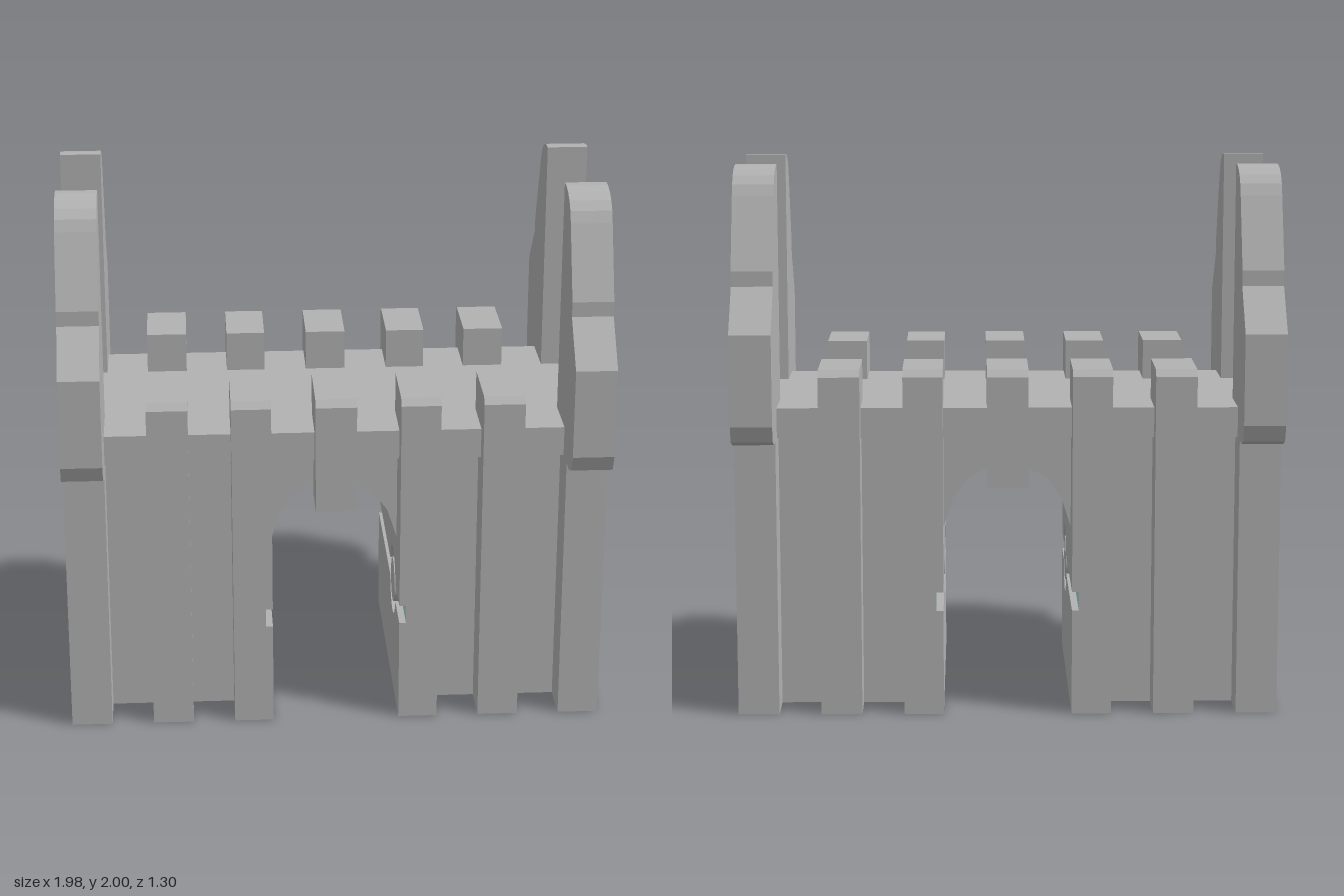
import * as THREE from 'three';
import { mergeGeometries } from 'three/addons/utils/BufferGeometryUtils.js';

const stone = new THREE.MeshStandardMaterial({ color: 0xb2b2b2, side: THREE.DoubleSide });
stone.name = 'grey stone';
const teal = new THREE.MeshStandardMaterial({ color: 0xacd6d2, side: THREE.DoubleSide });
teal.name = 'pale teal';

// Half profiles as [z, y], from the open bottom up to the walkway
const recess = (y0) => [[0.35, y0], [0.35, 1.02], [0.43, 1.02], [0.43, 1.13], [0.23, 1.13]];
const rib = (y0) => [[0.51, y0], [0.51, 1.255], [0.485, 1.28], [0.23, 1.28], [0.23, 1.13]];
const slab = [[0.51, 0], [0.51, 1.02], [0.57, 1.02], [0.625, 1.04], [0.65, 1.1], [0.65, 1.43],
  [0.51, 1.585], [0.51, 1.64], [0.405, 1.9], [0.385, 1.94], [0.355, 1.97], [0.315, 1.99],
  [0.27, 2], [0.23, 2], [0.23, 1.13]];
const arch = [[-0.235, 0.67], [-0.2, 0.78], [-0.14, 0.86], [-0.075, 0.89], [0.075, 0.89],
  [0.14, 0.86], [0.2, 0.78], [0.235, 0.67]];

const GATE = 0.235, GROOVE = 0.26, END = 0.99;
const RING = { z: 0.2, y: 0.425, outer: 0.13, inner: 0.085, half: 0.035 };

const shapeOf = (pts) => new THREE.Shape(pts.map(([a, b]) => new THREE.Vector2(a, b)));

// Sweep a [z, y] line from x0 to x1
function sweep(pts, x0, x1) {
  const pos = [];
  for (let i = 0; i < pts.length - 1; i++) {
    const [za, ya] = pts[i], [zb, yb] = pts[i + 1];
    pos.push(x0, ya, za, x1, ya, za, x1, yb, zb, x0, ya, za, x1, yb, zb, x0, yb, zb);
  }
  const g = new THREE.BufferGeometry();
  g.setAttribute('position', new THREE.Float32BufferAttribute(pos, 3));
  g.computeVertexNormals();
  return g;
}

// Stand a flat or extruded [z, y] geometry upright at x
const upright = (g, x) => g.rotateY(-Math.PI / 2).translate(x, 0, 0);

function flat(shape, x) {
  const g = upright(new THREE.ShapeGeometry(shape), x).toNonIndexed();
  g.deleteAttribute('uv');
  return g;
}

// Side of a protruding part, between its profile and the recessed wall
const side = (outer, inner, x) => flat(shapeOf([...outer, ...[...inner].reverse()]), x);

export function createModel() {
  const model = new THREE.Group();
  const add = (name, geos, mat = stone) => {
    const mesh = new THREE.Mesh(geos.length > 1 ? mergeGeometries(geos) : geos[0], mat);
    mesh.name = name;
    model.add(mesh);
  };
  const flip = (pts, s) => pts.map(([z, y]) => [z * s, y]);

  add('walkway', [sweep([[-0.23, 1.13], [0.23, 1.13]], -END, END)]);

  for (const sx of [1, -1]) {
    const label = sx > 0 ? 'left' : 'right';
    // Outer face of the tall end wall
    add(label + 'EndFace', [flat(shapeOf([...slab, ...flip(slab, -1).reverse()]), sx * END)]);

    for (const sz of [1, -1]) {
      const f = (pts) => flip(pts, sz);
      const place = label + (sz > 0 ? 'Front' : 'Back');
      add(place + 'EndTower', [
        sweep(f(slab), sx * 0.84, sx * END),
        side(f(slab), f(recess(0)), sx * 0.84),
      ]);
      add(place + 'OuterRib', [
        sweep(f(rib(0)), sx * 0.535, sx * 0.685),
        side(f(rib(0)), f(recess(0)), sx * 0.535),
        side(f(rib(0)), f(recess(0)), sx * 0.685),
      ]);
      add(place + 'GateRib', [
        sweep(f(rib(0)), sx * GROOVE, sx * 0.38),
        sweep(f(rib(0.67)), sx * GATE, sx * GROOVE),
        side(f(rib(0)), f(recess(0)), sx * 0.38),
        side(f(rib(0.67)), f(recess(0.67)), sx * GATE),
      ]);
      add(place + 'RecessedWall', [
        sweep(f(recess(0)), sx * 0.38, sx * 0.535),
        sweep(f(recess(0)), sx * 0.685, sx * 0.84),
      ]);
    }

    // Gate wall with a groove that widens into a ring
    const { z, y, outer, inner, half } = RING;
    const a = Math.asin(half / outer);
    const upper = new THREE.Shape().moveTo(-0.51, 0.67).lineTo(-0.51, y + half)
      .absarc(z, y, outer, Math.PI - a, a, true).lineTo(0.51, y + half).lineTo(0.51, 0.67);
    const lower = new THREE.Shape().moveTo(-0.51, 0).lineTo(-0.51, y - half)
      .absarc(z, y, outer, Math.PI + a, 2 * Math.PI - a, false).lineTo(0.51, y - half).lineTo(0.51, 0);
    const island = new THREE.Shape().absarc(z, y, inner, 0, Math.PI * 2, false);
    const wall = [upper, lower, island].map((s) => upright(
      new THREE.ExtrudeGeometry(s, { depth: GROOVE - GATE, bevelEnabled: false, curveSegments: 20 }),
      sx > 0 ? GROOVE : -GATE));
    add(label + 'GateWall', wall);

    // Coloured groove floor
    const reach = outer * Math.cos(a);
    const bar = (z0, z1) => flat(shapeOf([[z0, y - half], [z1, y - half], [z1, y + half], [z0, y + half]]), sx * GROOVE);
    const ring = upright(new THREE.RingGeometry(inner, outer, 40).translate(z, y, 0), sx * GROOVE).toNonIndexed();
    ring.deleteAttribute('uv');
    add(label + 'GrooveInlay', [bar(-0.51, z - reach), bar(z + reach, 0.51), ring], teal);
  }

  // Gate arch: wall above the opening, ledge and hanging middle rib on both sides
  for (const sz of [1, -1]) {
    const f = (pts) => flip(pts, sz);
    const place = sz > 0 ? 'front' : 'back';
    const face = new THREE.ShapeGeometry(shapeOf([...arch, [GATE, 1.02], [-GATE, 1.02]]));
    add(place + 'ArchWall', [face.translate(0, 0, sz * 0.35)]);
    add(place + 'ArchLedge', [sweep(f(recess(0.67).slice(1)), -GATE, GATE)]);
    const hanging = [[0.35, 0.9], [0.35, 0.85], ...rib(0.85)];
    add(place + 'MiddleRib', [
      sweep(f(hanging), -0.075, 0.075),
      side(f(hanging), f(recess(0.9).slice(1)), -0.075),
      side(f(hanging), f(recess(0.9).slice(1)), 0.075),
    ]);
  }

  // Vaulted ceiling of the passage
  const vault = sweep(arch, -0.35, 0.35).rotateY(Math.PI / 2);
  add('passageVault', [vault]);

  return model;
}
